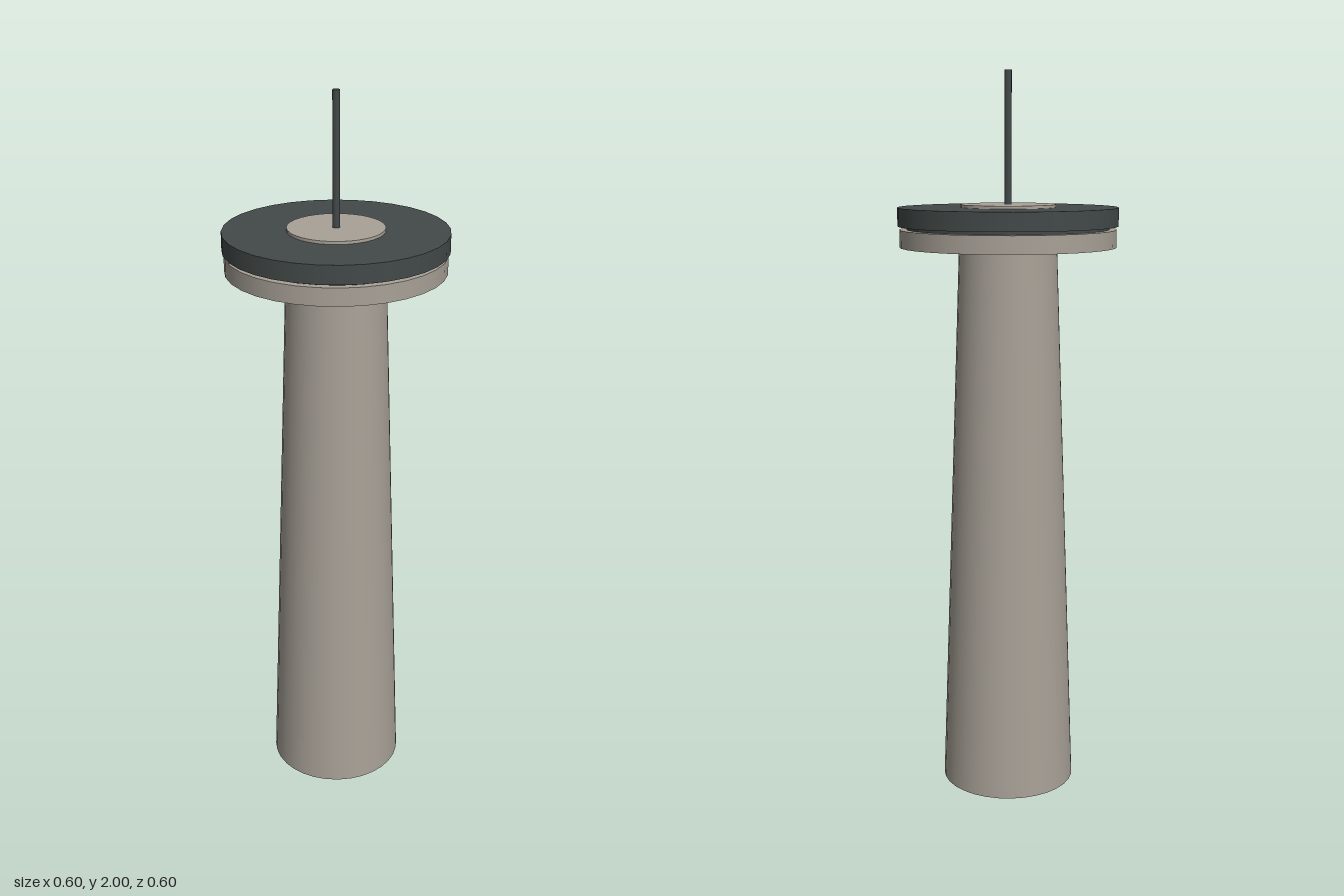
import * as THREE from 'three';

export function createModel() {
  const group = new THREE.Group();
  const concrete = new THREE.MeshStandardMaterial({ name: 'warm grey concrete', color: 0xa8a197 });
  const dark = new THREE.MeshStandardMaterial({ name: 'dark slate', color: 0x434a49 });

  // Upright round part between two heights
  function round(name, material, rBottom, rTop, y0, y1, sides = 32) {
    const geometry = new THREE.CylinderGeometry(rTop, rBottom, y1 - y0, sides);
    const mesh = new THREE.Mesh(geometry, material);
    mesh.name = name;
    mesh.position.y = (y0 + y1) / 2;
    group.add(mesh);
  }

  // Tapered shaft, running up through the decks to a low cap
  round('shaft', concrete, 0.187, 0.13, 0, 1.648);

  // Two stacked decks with a recessed band between them
  round('lowerDeck', concrete, 0.295, 0.295, 1.533, 1.581);
  round('recessedBand', dark, 0.275, 0.275, 1.581, 1.59);
  round('upperDeck', dark, 0.3, 0.3, 1.59, 1.64);

  // Thin mast
  round('mast', dark, 0.01, 0.01, 1.648, 2, 12);

  return group;
}
